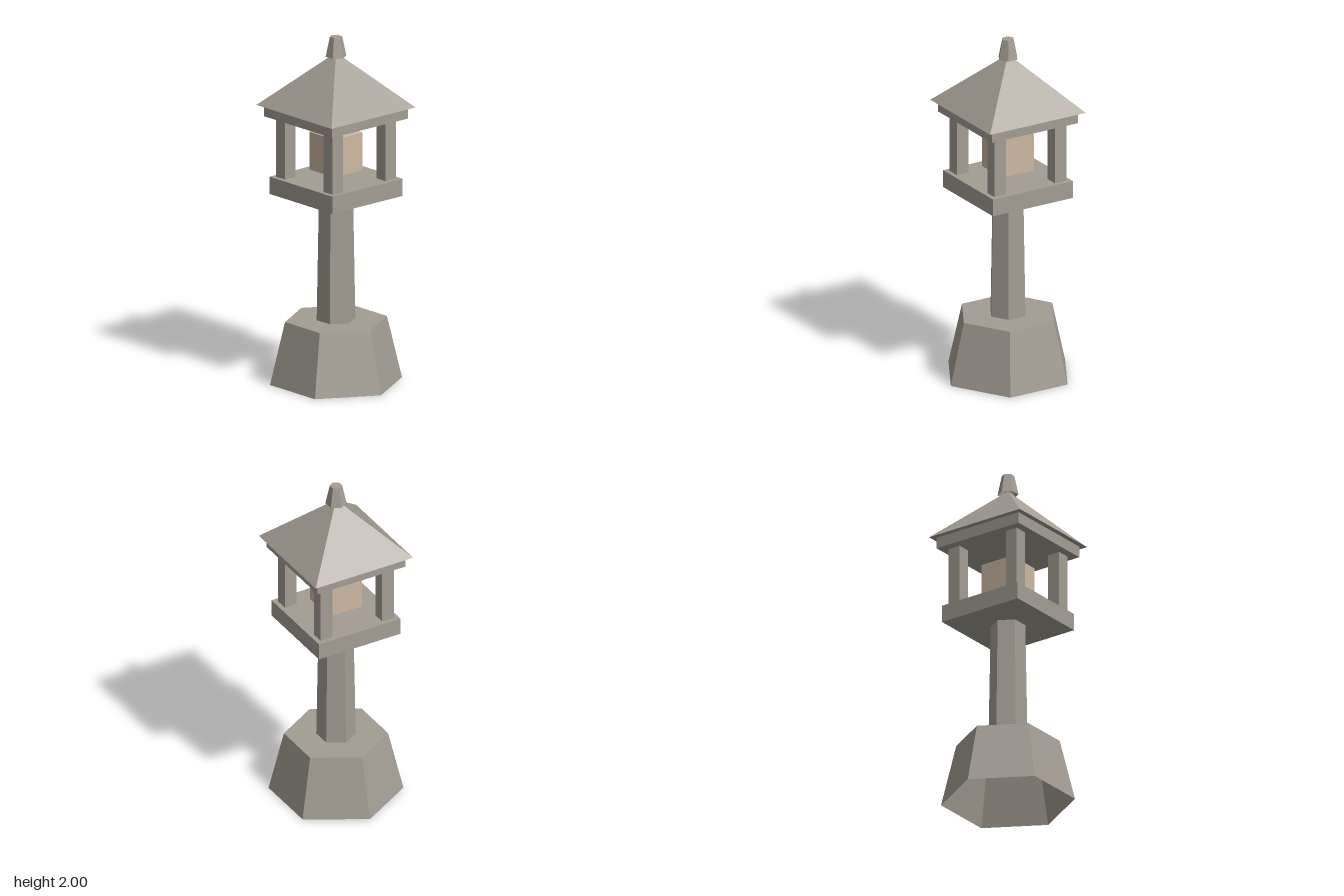
import * as THREE from 'three';

export function createModel() {
  const model = new THREE.Group();
  model.name = 'stoneLantern';

  const makeMaterial = (name, color, extra = {}) => {
    const m = new THREE.MeshStandardMaterial({ color, flatShading: true, ...extra });
    m.name = name;
    return m;
  };
  const stone = makeMaterial('stone', 0xa39d93, { side: THREE.DoubleSide });
  const lamp = makeMaterial('warm lamp', 0xccb8a1);

  const add = (name, geometry, material, x, y, z, parent = model) => {
    const mesh = new THREE.Mesh(geometry, material);
    mesh.name = name;
    mesh.position.set(x, y, z);
    parent.add(mesh);
    return mesh;
  };

  // Box standing between two heights
  const block = (name, width, y0, y1, material = stone, x = 0, z = 0, parent = model) =>
    add(name, new THREE.BoxGeometry(width, y1 - y0, width), material, x, (y0 + y1) / 2, z, parent);

  // Six-sided taper, corners on the x axis, closed on top and open underneath
  const hexTaper = (name, rTop, rBottom, y0, y1) => {
    const group = new THREE.Group();
    group.name = name;
    const wall = new THREE.CylinderGeometry(rTop, rBottom, y1 - y0, 6, 1, true).rotateY(Math.PI / 6);
    add(name + 'Wall', wall, stone, 0, (y0 + y1) / 2, 0, group);
    add(name + 'Top', new THREE.CircleGeometry(rTop, 6).rotateX(-Math.PI / 2), stone, 0, y1, 0, group);
    model.add(group);
  };

  // Foot and shaft
  hexTaper('base', 0.29, 0.375, 0, 0.36);
  hexTaper('shaft', 0.097, 0.11, 0.36, 1.08);

  // Lamp chamber
  block('platform', 0.525, 1.08, 1.18);
  const posts = new THREE.Group();
  posts.name = 'cornerPosts';
  for (const sx of [-1, 1]) {
    for (const sz of [-1, 1]) {
      block('cornerPost', 0.076, 1.18, 1.53, stone, sx * 0.198, sz * 0.198, posts);
    }
  }
  model.add(posts);
  block('lampBlock', 0.21, 1.225, 1.445, lamp);
  block('cornice', 0.567, 1.53, 1.595);

  // Square pyramid roof and finial
  const roof = new THREE.ConeGeometry(0.314 * Math.SQRT2, 0.312, 4).rotateY(Math.PI / 4);
  add('roof', roof, stone, 0, 1.595 + 0.156, 0);
  hexTaper('finial', 0.035, 0.059, 1.885, 2);

  return model;
}
